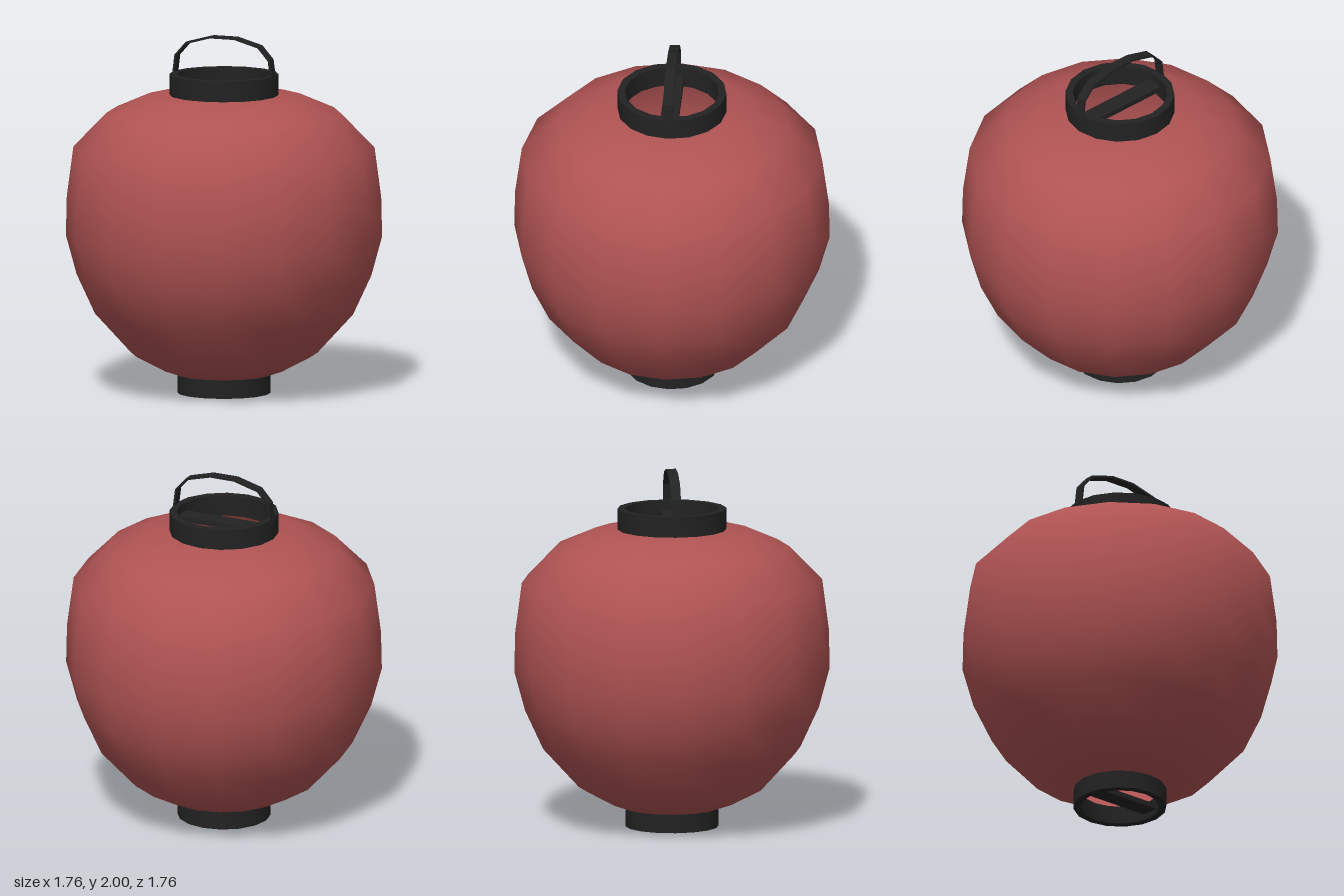
import * as THREE from 'three';
import { toCreasedNormals } from 'three/addons/utils/BufferGeometryUtils.js';

const SIDES = 16;
const red = new THREE.MeshStandardMaterial({ color: 0xb05353, side: THREE.DoubleSide });
red.name = 'red paper';
const black = new THREE.MeshStandardMaterial({ color: 0x222222 });
black.name = 'black wood';

const lathe = (points) =>
  new THREE.LatheGeometry(points.map(([r, y]) => new THREE.Vector2(r, y)), SIDES);

function addMesh(parent, name, geometry, material) {
  const mesh = new THREE.Mesh(geometry, material);
  mesh.name = name;
  parent.add(mesh);
  return mesh;
}

// Open ring with a crossbar spanning its inside
function addCollar(parent, name, inner, outer, y0, y1, barY) {
  const collar = new THREE.Group();
  collar.name = name;
  const ring = lathe([[inner, y0], [outer, y0], [outer, y1], [inner, y1], [inner, y0]]);
  addMesh(collar, name + 'Ring', toCreasedNormals(ring, 0.6), black);
  const bar = new THREE.BoxGeometry(inner * 2 + 0.02, 0.03, 0.1);
  addMesh(collar, name + 'Crossbar', bar, black).position.y = barY;
  parent.add(collar);
}

// Flat strap bent into an arch
function handleGeometry() {
  const half = [[0.305, 1.77], [0.29, 1.885], [0.222, 1.96], [0.075, 2]];
  const inside = [[0.293, 1.77], [0.279, 1.88], [0.217, 1.949], [0.073, 1.988]];
  const mirror = (pts) => pts.map(([x, y]) => [-x, y]).reverse();
  const outline = [...half, ...mirror(half), ...inside.map(([x, y]) => [-x, y]), ...[...inside].reverse()];
  const shape = new THREE.Shape(outline.map(([x, y]) => new THREE.Vector2(x, y)));
  const geometry = new THREE.ExtrudeGeometry(shape, { depth: 0.056, bevelEnabled: false });
  return geometry.translate(0, 0, -0.028);
}

export function createModel() {
  const lantern = new THREE.Group();
  lantern.name = 'paperLantern';

  // Rounded paper shade, open at both ends
  addMesh(lantern, 'shade', lathe([
    [0.22, 0.1], [0.26, 0.104], [0.35, 0.135], [0.52, 0.225], [0.718, 0.44], [0.82, 0.66],
    [0.88, 0.88], [0.875, 1.1], [0.838, 1.38], [0.652, 1.57], [0.45, 1.658], [0.27, 1.677],
  ]), red);

  addCollar(lantern, 'topCollar', 0.262, 0.304, 1.67, 1.79, 1.725);
  addCollar(lantern, 'bottomCollar', 0.22, 0.26, 0, 0.104, 0.05);
  addMesh(lantern, 'handle', handleGeometry(), black);

  return lantern;
}
